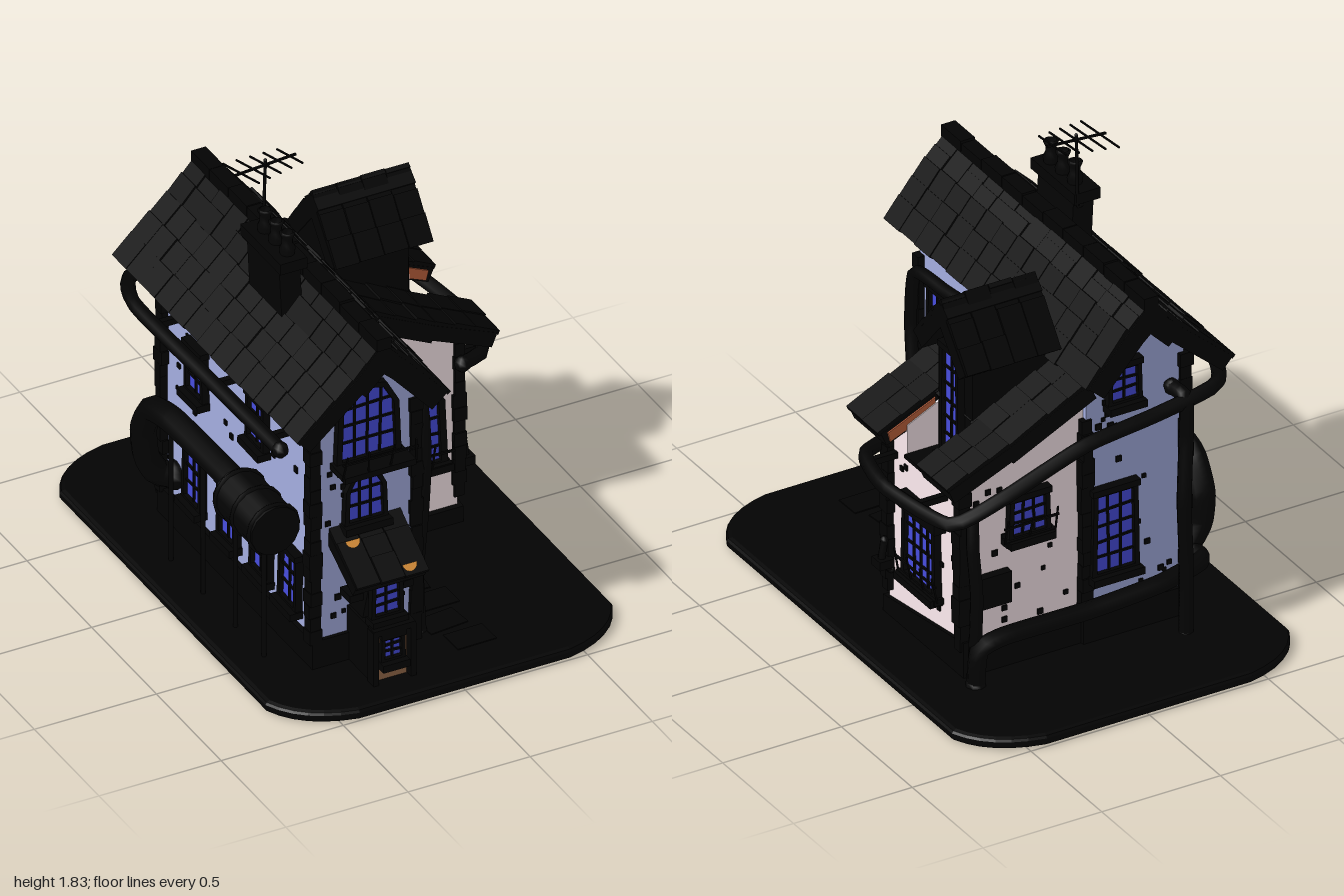
import * as THREE from 'three';
import { mergeGeometries } from 'three/addons/utils/BufferGeometryUtils.js';

const mat = (color) => new THREE.MeshStandardMaterial({ color, side: THREE.DoubleSide });
const DARK = mat(0x030303), BLUE = mat(0xa6afe2), PINK = mat(0xffedf1), GLASS = mat(0x484ee0);
const WOOD = mat(0x966b4b), ORANGE = mat(0xe0953c), RUST = mat(0xc0623d);
let seed = 7;
const rnd = () => (seed = (seed * 16807) % 2147483647) / 2147483647;
const jit = (a) => (rnd() - 0.5) * 2 * a;

function add(parent, name, geo, material, x = 0, y = 0, z = 0) {
  const m = new THREE.Mesh(geo, material);
  m.name = name;
  m.position.set(x, y, z);
  parent.add(m);
  return m;
}
const box = (p, name, w, h, d, x, y, z, m = DARK) => add(p, name, new THREE.BoxGeometry(w, h, d), m, x, y, z);
const poly = (pts) => new THREE.Shape(pts.map(([x, y]) => new THREE.Vector2(x, y)));
function prism(p, name, pts, z0, z1, m) {
  return add(p, name, new THREE.ExtrudeGeometry(poly(pts), { depth: z1 - z0, bevelEnabled: false }), m, 0, 0, z0);
}
function pipe(p, name, pts, r, sides = 8) {
  const curve = new THREE.CatmullRomCurve3(pts.map((q) => new THREE.Vector3(...q)), false, 'catmullrom', 0.3);
  add(p, name, new THREE.TubeGeometry(curve, pts.length * 6, r, sides), DARK);
  for (const q of [pts[0], pts[pts.length - 1]]) add(p, name + 'Collar', new THREE.SphereGeometry(r * 1.15, 8, 6), DARK, ...q);
}

// A roof slope from a (high) to b (low), with overlapping rows of tiles
function slope(p, name, a, b, z0, z1, thick = 0.05) {
  const dx = b[0] - a[0], dy = b[1] - a[1], len = Math.hypot(dx, dy), s = Math.sign(dx);
  const n = [(-dy / len) * s, (dx / len) * s], ang = Math.atan2(dy, dx), parts = [];
  const piece = (t, off, l, h, d, z, tilt) => {
    const g = new THREE.BoxGeometry(l, h, d);
    g.rotateZ(ang + tilt);
    g.translate(a[0] + dx * t + n[0] * off, a[1] + dy * t + n[1] * off, z);
    parts.push(g);
  };
  piece(0.5, -0.01 - thick / 2, len, thick, z1 - z0, (z0 + z1) / 2, 0);
  const rows = Math.max(1, Math.round(len / 0.09)), cols = Math.max(1, Math.round((z1 - z0) / 0.11));
  const w = (z1 - z0) / cols;
  for (let r = 0; r < rows; r++) for (let c = 0; c < cols; c++)
    piece((r + 0.5) / rows, -0.004 + jit(0.003), len / rows + 0.015 + jit(0.008), 0.018, w * 0.97, z0 + w * (c + 0.5), -0.06 * s);
  add(p, name, mergeGeometries(parts), DARK);
}

// A framed window standing on its sill, facing +z before turning
function windowAt(p, name, w, h, x, y, z, turn = 0, { arch = false, rail = 0, tilt = 0 } = {}) {
  const g = new THREE.Group();
  g.name = name;
  g.position.set(x, y, z);
  g.rotation.set(0, turn, tilt, 'YXZ');
  p.add(g);
  const outline = (a, k) => arch
    ? [[-a, -k], [a, -k], [a * 0.93, h * 0.7], [a * 0.55, h * 0.95 + k], [0, h + k], [-a * 0.55, h * 0.95 + k], [-a * 0.93, h * 0.7]]
    : [[-a, -k], [a, -k], [a * 0.93, h + k], [-a * 0.93, h + k]];
  const frame = poly(outline(w / 2 + 0.012 + w * 0.05, 0.02));
  frame.holes.push(poly(outline(w / 2, 0)));
  add(g, 'frame', new THREE.ExtrudeGeometry(frame, { depth: 0.03, bevelEnabled: false }), DARK);
  add(g, 'glass', new THREE.ShapeGeometry(poly(outline(w / 2, 0))), GLASS, 0, 0, 0.012);
  const nx = Math.max(2, Math.round(w / 0.05)), ny = Math.max(3, Math.round(h / 0.065));
  for (let i = 1; i < nx; i++) {
    const bx = (i / nx - 0.5) * w, bh = arch && Math.abs(bx) > w * 0.25 ? h * 0.86 : h;
    box(g, 'upright', 0.008, bh, 0.008, bx * 0.97, bh / 2, 0.016).rotation.z = jit(0.03);
  }
  for (let i = 1; i < ny; i++)
    box(g, 'crossbar', w * (arch && i / ny > 0.75 ? 0.78 : 0.97), 0.008, 0.008, 0, (i / ny) * h, 0.017).rotation.z = jit(0.07);
  box(g, 'sill', w * 1.15 + 0.03, 0.03, 0.06, 0, -0.025, 0.025);
  if (!arch) box(g, 'lintel', w * 1.1 + 0.025, 0.025, 0.045, 0, h + 0.02, 0.015);
  if (rail) {
    const n = Math.round(w / 0.07);
    box(g, 'railFloor', w + 0.07, 0.025, rail, 0, -0.02, rail / 2);
    for (let i = 0; i <= n; i++)
      box(g, 'spike', 0.006, 0.11, 0.006, (i / n - 0.5) * (w + 0.07), 0.035, rail).rotation.set(0.2, 0, jit(0.12));
    box(g, 'handrail', w + 0.09, 0.008, 0.008, 0, 0.05, rail).rotation.z = jit(0.06);
  }
}

// Loose stones set into a wall face
function stones(p, count, fixed, at, u0, u1, v0, v1) {
  for (let i = 0; i < count; i++) {
    const u = u0 + rnd() * (u1 - u0), y = v0 + rnd() * (v1 - v0), s = 0.015 + rnd() * 0.01;
    if (fixed === 'z') box(p, 'wallStone', s, s, 0.014, u, y, at);
    else box(p, 'wallStone', 0.014, s, s, at, y, u);
  }
}
function quoins(p, x, z, top) {
  for (let y = 0.15; y < top; y += 0.055)
    box(p, 'cornerStone', 0.048 + jit(0.01), 0.056, 0.048 + jit(0.01), x, y + 0.027, z).rotation.y = jit(0.06);
}

export function createModel() {
  const house = new THREE.Group();
  house.name = 'crookedHouse';
  const R = Math.PI / 2;

  // Ground slab with cut, softened corners
  const W = 0.69, D = 0.98, cx = 0.26, cz = 0.19;
  const slab = new THREE.Shape();
  slab.moveTo(-W + cx, -D).lineTo(W - cx, -D).quadraticCurveTo(W - 0.06, -D + 0.04, W, -D + cz).lineTo(W, D - cz)
    .quadraticCurveTo(W - 0.06, D - 0.04, W - cx, D).lineTo(-W + cx, D).quadraticCurveTo(-W + 0.06, D - 0.04, -W, D - cz)
    .lineTo(-W, -D + cz).quadraticCurveTo(-W + 0.06, -D + 0.04, -W + cx, -D);
  const slabGeo = new THREE.ExtrudeGeometry(slab, { depth: 0.018, bevelThickness: 0.013, bevelSize: 0.02, bevelSegments: 2, curveSegments: 6 });
  slabGeo.rotateX(-R);
  add(house, 'ground', slabGeo, DARK, 0, 0.013, 0);
  for (let i = 0; i < 5; i++) box(house, 'pavingStone', 0.16, 0.008, 0.11, 0.12 + jit(0.05), 0.044, 0.2 + i * 0.14).rotation.y = jit(0.2);

  // Walls; the side wing is lower where the dormer cuts through its eave
  prism(house, 'mainWalls', [[-0.44, 0.03], [-0.03, 0.03], [-0.03, 1.15], [-0.24, 1.41], [-0.44, 1.2]], -0.5, 0.67, BLUE);
  const wing = [[-0.05, 0.03], [0.47, 0.03], [0.47, 0.89], [0.2, 1.02], [-0.05, 1.12]];
  prism(house, 'wingWallsFront', wing, -0.08, 0.05, PINK);
  prism(house, 'wingWallsBack', wing, -0.48, -0.32, PINK);
  prism(house, 'wingWallsMiddle', [[-0.05, 0.03], [0.47, 0.03], [0.47, 0.76], [-0.05, 0.76]], -0.32, -0.08, PINK);
  box(house, 'eaveCutFloor', 0.17, 0.015, 0.24, 0.4, 0.765, -0.2);
  box(house, 'mainPlinth', 0.45, 0.13, 1.2, -0.235, 0.095, 0.085);
  prism(house, 'wingPlinth', [[-0.07, 0.03], [0.5, 0.03], [0.5, 0.19], [-0.07, 0.11]], -0.05, 0.485, DARK).rotation.y = R;
  house.getObjectByName('wingPlinth').position.set(-0.05, 0, 0);
  for (const [x, z, t] of [[-0.445, 0.66, 1.12], [-0.03, 0.66, 1.08], [-0.445, -0.49, 1.12], [-0.03, -0.49, 0.95],
    [0.475, 0.04, 0.8], [0.475, -0.47, 0.8], [0.0, 0.06, 1.0]]) quoins(house, x, z, t);
  stones(house, 22, 'z', 0.67, -0.4, -0.07, 0.2, 1.15);
  stones(house, 20, 'z', -0.5, -0.4, -0.07, 0.2, 1.15);
  stones(house, 22, 'z', 0.05, 0.03, 0.43, 0.2, 0.85);
  stones(house, 16, 'z', -0.48, 0.03, 0.43, 0.2, 0.85);
  stones(house, 14, 'x', 0.47, -0.43, 0, 0.2, 0.72);
  stones(house, 18, 'x', -0.03, 0.12, 0.62, 0.2, 1.02);
  stones(house, 26, 'x', -0.44, -0.45, 0.62, 0.2, 1.05);

  // Main roof and the wing's lean-to roof
  slope(house, 'roofLeftUpper', [-0.24, 1.46], [-0.38, 1.32], -0.61, 0.82, 0.085);
  slope(house, 'roofLeftLower', [-0.37, 1.33], [-0.59, 1.14], -0.61, 0.82, 0.065);
  slope(house, 'roofRightUpper', [-0.24, 1.46], [-0.13, 1.36], -0.61, 0.82, 0.085);
  slope(house, 'roofRightLower', [-0.14, 1.37], [0.03, 1.18], -0.61, 0.82, 0.085);
  for (let i = 0; i < 10; i++) box(house, 'ridgeTile', 0.06, 0.05, 0.14, -0.24, 1.46 + jit(0.005), -0.54 + i * 0.144);
  slope(house, 'wingRoofUpper', [-0.01, 1.16], [0.34, 0.99], -0.55, 0.16, 0.07);
  slope(house, 'wingRoofFront', [0.33, 0.995], [0.58, 0.89], -0.07, 0.16, 0.06);
  slope(house, 'wingRoofBack', [0.33, 0.995], [0.58, 0.89], -0.55, -0.33, 0.06);
  for (const z of [-0.325, -0.073])
    prism(house, 'eaveCutLining', [[0.35, 0.92], [0.54, 0.84], [0.55, 0.88], [0.35, 0.97]], z - 0.003, z + 0.003, RUST);

  // Dormer facing the model's left
  const dormer = new THREE.Group();
  dormer.name = 'dormer';
  dormer.position.set(0, 0, -0.2);
  dormer.rotation.y = R;
  house.add(dormer);
  prism(dormer, 'dormerWalls', [[-0.12, 0.76], [0.12, 0.76], [0.12, 1.26], [0, 1.4], [-0.12, 1.26]], 0.01, 0.34, DARK);
  for (const s of [-1, 1]) slope(dormer, 'dormerRoof', [0, 1.452], [s * 0.185, 1.235], 0.005, 0.405, 0.06);
  windowAt(dormer, 'dormerWindow', 0.1, 0.42, 0, 0.8, 0.34);

  // Windows of every face
  windowAt(house, 'upperFrontWindow', 0.22, 0.29, -0.235, 0.91, 0.67, 0, { arch: true, rail: 0.12 });
  windowAt(house, 'middleFrontWindow', 0.14, 0.19, -0.245, 0.64, 0.67, 0, { arch: true });
  windowAt(house, 'wingBayWindow', 0.32, 0.37, 0.23, 0.34, 0.05, 0, { arch: true, rail: 0.05 });
  windowAt(house, 'wingSmallWindow', 0.09, 0.18, 0.1, 0.77, 0.05, 0, { arch: true, tilt: 0.03 });
  windowAt(house, 'wingSideWindow', 0.2, 0.27, 0.47, 0.3, -0.2, R, { rail: 0.04 });
  box(house, 'sideLintel', 0.06, 0.05, 0.28, 0.49, 0.6, -0.21);
  for (const [z, y, w, h] of [[0.5, 0.7, 0.14, 0.29], [0.24, 0.71, 0.12, 0.29], [0.51, 0.35, 0.14, 0.19], [0.24, 0.26, 0.13, 0.2]])
    windowAt(house, 'courtWindow', w, h, -0.03, y, z, R, { tilt: jit(0.06) });
  for (const [z, y, h] of [[-0.24, 0.24, 0.2], [0.03, 0.24, 0.2], [0.28, 0.24, 0.2], [0.5, 0.24, 0.2], [-0.22, 0.72, 0.17], [0.25, 0.78, 0.17]])
    windowAt(house, 'outerSideWindow', 0.11, h, -0.44, y, z, -R, { tilt: jit(0.05) });
  windowAt(house, 'backGableWindow', 0.11, 0.13, -0.18, 1.03, -0.5, Math.PI);
  windowAt(house, 'backTallWindow', 0.16, 0.32, -0.14, 0.33, -0.5, Math.PI);
  windowAt(house, 'backWingWindow', 0.14, 0.14, 0.21, 0.58, -0.48, Math.PI, { rail: 0.04 });
  box(house, 'backVent', 0.14, 0.13, 0.05, 0.36, 0.38, -0.49);

  // Porch: entrance, upper light and pitched canopy
  const porch = new THREE.Group();
  porch.name = 'porch';
  house.add(porch);
  box(porch, 'porchBase', 0.17, 0.24, 0.18, -0.225, 0.15, 0.76);
  for (const s of [-1, 1]) box(porch, 'doorJamb', 0.022, 0.24, 0.05, -0.23 + s * 0.076, 0.15, 0.865);
  box(porch, 'doorHead', 0.17, 0.025, 0.05, -0.23, 0.265, 0.865);
  const cheek = prism(porch, 'porchUpper', [[-0.66, 0.26], [-0.77, 0.26], [-0.84, 0.5], [-0.66, 0.6]], -0.3, -0.15, DARK);
  cheek.rotation.y = R;
  cheek.position.set(-0.3, 0, 0);
  box(porch, 'door', 0.125, 0.205, 0.012, -0.23, 0.147, 0.853, WOOD);
  windowAt(porch, 'doorWindow', 0.07, 0.08, -0.23, 0.14, 0.85);
  box(porch, 'doorPanel', 0.08, 0.012, 0.01, -0.23, 0.085, 0.858);
  windowAt(porch, 'porchLight', 0.1, 0.12, -0.235, 0.31, 0.815);
  for (const s of [-1, 1]) windowAt(porch, 'porchSideLight', 0.04, 0.08, -0.225 + s * 0.075, 0.39, 0.74, s * R);
  const canopy = new THREE.Group();
  canopy.name = 'porchCanopy';
  canopy.rotation.y = -R;
  porch.add(canopy);
  slope(canopy, 'canopyTiles', [0.66, 0.62], [0.885, 0.49], 0.09, 0.385);
  for (const [x, y, z] of [[-0.335, 0.6, 0.76], [-0.16, 0.51, 0.87]]) {
    const lid = add(porch, 'orangeTile', new THREE.CircleGeometry(0.03, 10, Math.PI, Math.PI), ORANGE, x, y + 0.01, z);
    lid.rotation.x = -0.6;
  }

  // Chimney stack, pots and aerial
  box(house, 'chimneyStack', 0.085, 0.28, 0.25, -0.345, 1.4, 0.18).rotation.z = 0.05;
  box(house, 'chimneyCap', 0.11, 0.045, 0.31, -0.35, 1.55, 0.18);
  const pot = [[0.026, 0], [0.031, 0.03], [0.021, 0.05], [0.021, 0.075], [0.03, 0.095], [0.02, 0.1]].map((q) => new THREE.Vector2(...q));
  for (const z of [0.275, 0.19, 0.105]) add(house, 'chimneyPot', new THREE.LatheGeometry(pot, 10), DARK, -0.345, 1.565, z);
  pipe(house, 'aerialMast', [[-0.35, 1.5, 0.06], [-0.31, 1.52, 0.03], [-0.31, 1.65, 0.03], [-0.305, 1.82, 0.03]], 0.006, 6);
  box(house, 'aerialBoom', 0.25, 0.008, 0.008, -0.305, 1.8, 0.03).rotation.z = 0.07;
  for (let i = 0; i < 5; i++) box(house, 'aerialRod', 0.006, 0.006, 0.21 - i * 0.015, -0.405 + i * 0.05, 1.793 + i * 0.0035, 0.03).rotation.set(-0.1, 0.2, 0);

  // Gutters and rain pipes round the house
  pipe(house, 'mainGutter', [[-0.61, 1.06, 0.72], [-0.61, 1.05, 0.2], [-0.61, 1.04, -0.4], [-0.52, 1.03, -0.6], [-0.25, 0.99, -0.62],
    [0.05, 0.95, -0.62], [0.4, 0.83, -0.62], [0.58, 0.75, -0.56], [0.635, 0.74, -0.2], [0.58, 0.74, 0.04], [0.47, 0.74, 0.09]], 0.028);
  for (const z of [0.6, 0.2, -0.25]) box(house, 'gutterBracket', 0.16, 0.025, 0.025, -0.52, 1.04, z);
  for (const z of [-0.35, 0]) box(house, 'gutterBracket', 0.15, 0.025, 0.025, 0.54, 0.73, z);
  pipe(house, 'backDownpipe', [[-0.38, 1.02, -0.52], [-0.38, 1.02, -0.62], [-0.38, 0.85, -0.62], [-0.36, 0.6, -0.64], [-0.38, 0.35, -0.62], [-0.38, 0.03, -0.62]], 0.028);
  pipe(house, 'backLowPipe', [[0.47, 0.04, -0.56], [0.46, 0.19, -0.57], [0.35, 0.22, -0.57], [0, 0.22, -0.57], [-0.3, 0.24, -0.57], [-0.5, 0.26, -0.53], [-0.5, 0.26, -0.42]], 0.035);
  pipe(house, 'courtGutter', [[0.02, 1.1, 0.17], [0.02, 1.07, 0.4], [0.01, 1.03, 0.64], [0.01, 0.8, 0.67], [0.02, 0.55, 0.63], [0.0, 0.3, 0.63], [0.01, 0.04, 0.63]], 0.025);
  pipe(house, 'cornerDownpipe', [[0.03, 1.05, 0.09], [0.03, 0.7, 0.1], [0.01, 0.4, 0.09], [0.02, 0.04, 0.09]], 0.022);
  pipe(house, 'ventPipe', [[-0.02, 0.59, 0.24], [0.01, 0.59, 0.17], [0.01, 0.55, 0.12], [0.01, 0.2, 0.12]], 0.02);
  box(house, 'ventBox', 0.05, 0.07, 0.12, -0.01, 0.6, 0.24);
  pipe(house, 'wingLowPipe', [[0.06, 0.14, 0.09], [0.1, 0.17, 0.1], [0.17, 0.17, 0.1], [0.21, 0.12, 0.09]], 0.016);
  pipe(house, 'sideRainPipe', [[0.46, 0.73, -0.52], [0.47, 0.6, -0.54], [0.46, 0.4, -0.55], [0.46, 0.06, -0.53]], 0.025);
  box(house, 'wallTapShelf', 0.06, 0.035, 0.06, 0.515, 0.28, 0.02);
  pipe(house, 'wallTap', [[0.48, 0.24, 0.02], [0.52, 0.28, 0.02], [0.51, 0.37, 0.02]], 0.014);

  // Tank on stilts with its thick feed pipe
  add(house, 'tank', new THREE.CylinderGeometry(0.1, 0.1, 0.3, 14), DARK, -0.575, 0.64, 0.47).rotation.x = R;
  for (const z of [0.34, 0.47, 0.6]) add(house, 'tankBand', new THREE.TorusGeometry(0.1, 0.01, 6, 14), DARK, -0.575, 0.64, z);
  add(house, 'tankMark', new THREE.CircleGeometry(0.035, 10, R, Math.PI), ORANGE, -0.61, 0.67, 0.315).rotation.y = Math.PI;
  pipe(house, 'tankPipe', [[-0.56, 0.65, 0.36], [-0.56, 0.65, 0.2], [-0.56, 0.64, -0.2], [-0.56, 0.6, -0.36], [-0.56, 0.48, -0.43], [-0.55, 0.36, -0.43], [-0.51, 0.28, -0.42], [-0.45, 0.26, -0.4]], 0.05, 10);
  for (const z of [-0.2, 0.05, 0.3, 0.52]) add(house, 'stilt', new THREE.CylinderGeometry(0.009, 0.009, 0.58, 6), DARK, -0.57, 0.32, z);

  return house;
}
